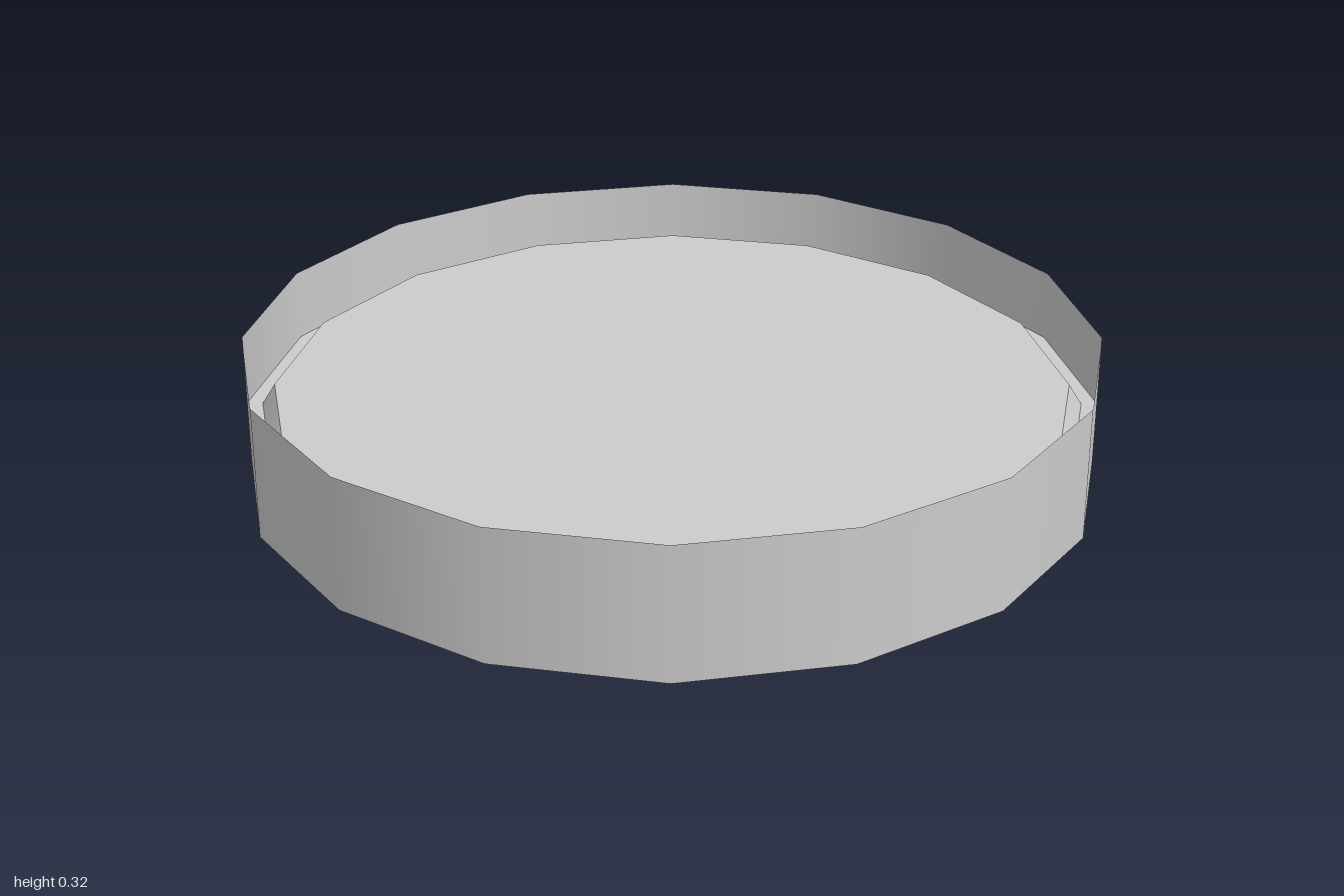
import * as THREE from 'three';

const SIDES = 16;
const material = new THREE.MeshStandardMaterial({ color: 0xcccccc, side: THREE.DoubleSide });

// Thin ring swept between two [radius, height] points
function ring(name, from, to) {
  const points = [new THREE.Vector2(...from), new THREE.Vector2(...to)];
  const mesh = new THREE.Mesh(new THREE.LatheGeometry(points, SIDES), material);
  mesh.name = name;
  return mesh;
}

export function createModel() {
  const group = new THREE.Group();
  group.name = 'shallowDish';

  // Outer wall in two bands that meet at the ledge
  group.add(ring('lowerWall', [1, 0], [1, 0.15]));
  group.add(ring('upperWall', [1, 0.15], [1, 0.32]));

  // Narrow ledge inside the wall, and the slope rising to the plate
  group.add(ring('ledge', [1, 0.15], [0.963, 0.15]));
  group.add(ring('plateSlope', [0.963, 0.15], [0.932, 0.2]));

  // Raised flat plate
  const plate = new THREE.Mesh(new THREE.CircleGeometry(0.932, SIDES), material);
  plate.name = 'plate';
  plate.rotation.x = -Math.PI / 2;
  plate.position.y = 0.2;
  group.add(plate);

  return group;
}
